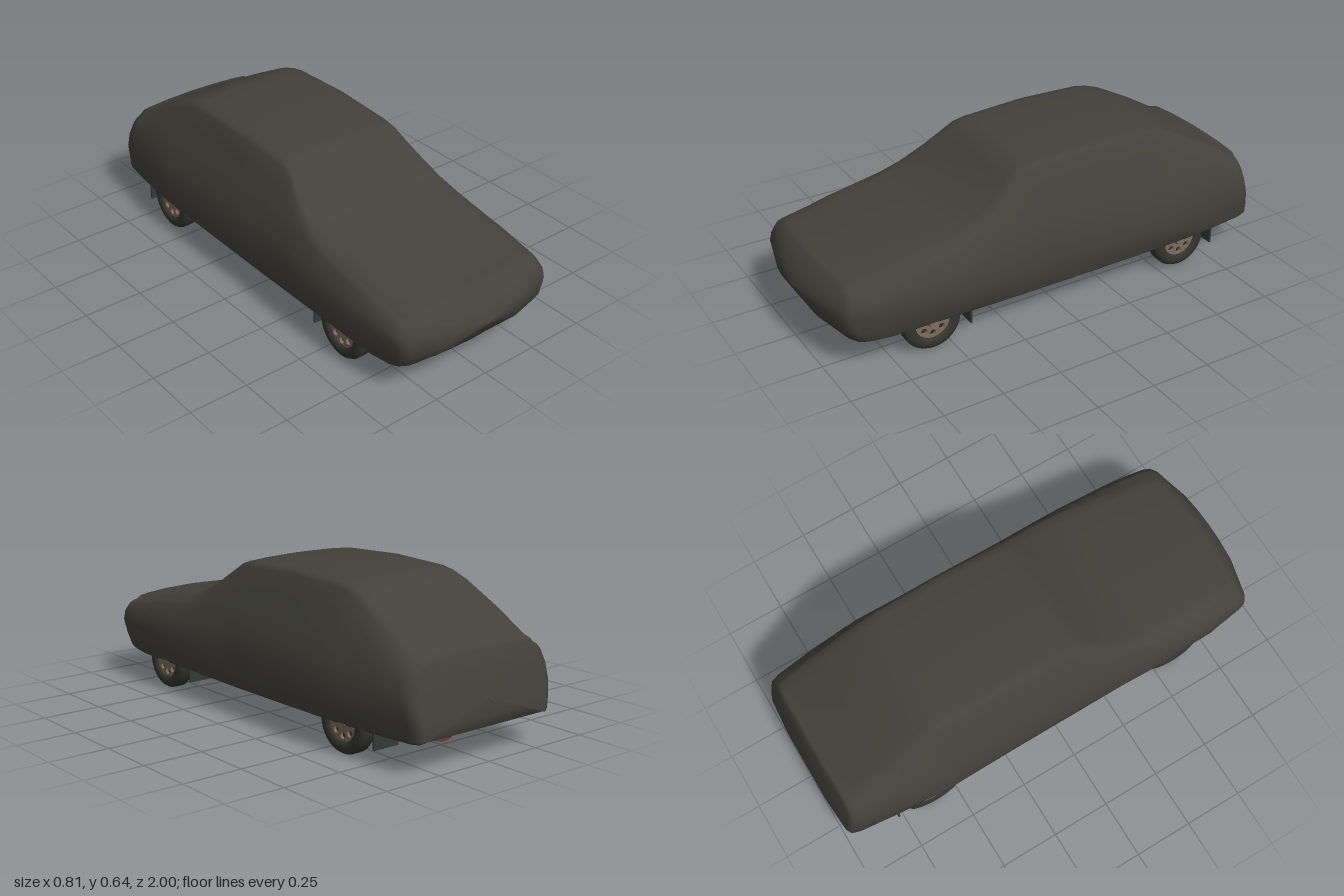
import * as THREE from 'three';

const mat = (name, color, side = THREE.FrontSide) => {
  const m = new THREE.MeshStandardMaterial({ color, side });
  m.name = name;
  return m;
};
const M = {
  cloth: mat('coverCloth', 0x42413a, THREE.DoubleSide),
  tyre: mat('tyreRubber', 0x34352f),
  rim: mat('rimMetal', 0x7d6a5e),
  dark: mat('underbodyDark', 0x262a28),
  steel: mat('chassisSteel', 0x343a37),
  rust: mat('exhaustRust', 0x6a3a34),
  sill: mat('sillPrimer', 0x8a7565),
};

function add(parent, name, geo, material, x = 0, y = 0, z = 0) {
  const m = new THREE.Mesh(geo, material);
  m.name = name;
  m.position.set(x, y, z);
  parent.add(m);
  return m;
}
const box = (p, name, m, w, h, d, x, y, z) => add(p, name, new THREE.BoxGeometry(w, h, d), m, x, y, z);
function tube(p, name, m, pts, r) {
  const path = new THREE.CurvePath();
  const v = pts.map(a => new THREE.Vector3(...a));
  for (let i = 1; i < v.length; i++) path.add(new THREE.LineCurve3(v[i - 1], v[i]));
  return add(p, name, new THREE.TubeGeometry(path, v.length * 8, r, 8), m);
}

// Cover stations: z, top y, top half width, shoulder half width, shoulder y, widest half width
const STATIONS = [
  [.96, .366, .31, .355, .32, .375],
  [.85, .383, .315, .36, .335, .39],
  [.7, .405, .32, .36, .355, .398],
  [.45, .44, .33, .36, .385, .405],
  [.36, .467, .328, .355, .405, .402],
  [.26, .522, .31, .35, .425, .398],
  [.19, .575, .288, .346, .432, .396],
  [.135, .615, .274, .345, .437, .395],
  [.08, .627, .272, .345, .44, .394],
  [-.2, .64, .275, .345, .44, .395],
  [-.47, .633, .272, .345, .44, .403],
  [-.53, .622, .272, .345, .437, .405],
  [-.6, .596, .275, .343, .43, .4],
  [-.77, .512, .284, .34, .412, .38],
  [-.95, .428, .29, .335, .365, .362],
];
// Closing rings at each end: distance from the middle, scale of the end section
const CAP = [[1, .01], [1, .5], [.997, .9], [.985, .97]];

// Draped cover lofted nose to tail, with bowed ends and an open underside
function coverGeometry() {
  const pos = [], idx = [];
  const smooth = THREE.MathUtils.smoothstep;
  const rows = [
    ...CAP.map(([z, s]) => [z, s, STATIONS[0]]),
    ...STATIONS.map(st => [st[0], 1, st]),
    ...CAP.map(([z, s]) => [-z, s, STATIONS.at(-1)]).reverse(),
  ];
  let n = 0;
  for (const [z, s, [, t, r, ws, ys, wm]] of rows) {
    const e = t - .02, wl = Math.min(.375, wm - .016), yb = .11 + .008 * Math.abs(z);
    const half = [
      [wl - .035, yb + .004], [wl - .012, yb], [wl, yb + .012], [wm - .012, .18], [wm, .245],
      [wm * .55 + ws * .45 + .006, .245 + (ys - .245) * .55], [ws, ys],
      [(ws + r) / 2 + .004, (ys + e) / 2], [r + .008, e - .012], [r - .008, e + .006],
      [r * .85, t - .009], [r * .5, t - .003],
    ];
    const ring = [...half, [0, t], ...half.slice().reverse().map(([x, y]) => [-x, y])];
    n = ring.length;
    const nose = smooth(z, .6, .97), tail = smooth(-z, .7, .96);
    for (const [px, py] of ring) {
      const x = px * s, y = .235 + (py - .235) * s;
      const dz = -nose * (4.3 * (y - .235) ** 2 + .45 * x * x)
        + tail * (.2 * Math.max(0, y - .18) + .1 * x * x);
      pos.push(x, y, z + dz);
    }
  }
  for (let j = 0; j < rows.length - 1; j++) {
    const closed = j < CAP.length - 1 || j >= rows.length - CAP.length;
    for (let i = 0; i < (closed ? n : n - 1); i++) {
      const k = (i + 1) % n, a = j * n + i, b = j * n + k, c = a + n, d = b + n;
      idx.push(a, c, b, b, c, d);
    }
  }
  const g = new THREE.BufferGeometry();
  g.setAttribute('position', new THREE.Float32BufferAttribute(pos, 3));
  g.setIndex(idx);
  g.computeVertexNormals();
  return g;
}

// Wheel with its outer face toward +x
function wheel() {
  const g = new THREE.Group();
  const profile = [[.074, -.034], [.1, -.037], [.118, -.032], [.125, -.02], [.125, .02],
    [.118, .032], [.1, .037], [.078, .034], [.074, .02], [.074, -.034]];
  const tyre = new THREE.LatheGeometry(profile.map(p => new THREE.Vector2(...p)), 32);
  add(g, 'tyre', tyre.rotateZ(-Math.PI / 2), M.tyre);
  const face = new THREE.Shape().absarc(0, 0, .077, 0, Math.PI * 2);
  for (let i = 0; i < 8; i++) {
    const a = i * Math.PI / 4;
    face.holes.push(new THREE.Path().absarc(Math.cos(a) * .054, Math.sin(a) * .054, .013, 0, Math.PI * 2, true));
  }
  const rim = new THREE.ExtrudeGeometry(face, { depth: .012, bevelEnabled: false, curveSegments: 16 });
  add(g, 'rim', rim.rotateY(Math.PI / 2), M.rim, .014);
  add(g, 'hub', new THREE.CylinderGeometry(.02, .026, .012, 16).rotateZ(-Math.PI / 2), M.rim, .031);
  add(g, 'brakeDrum', new THREE.CylinderGeometry(.073, .073, .03, 24).rotateZ(Math.PI / 2), M.dark, -.005);
  return g;
}

export function createModel() {
  const car = new THREE.Group();
  car.name = 'coveredCar';
  add(car, 'carCover', coverGeometry(), M.cloth);

  // Floor pan following the cover outline
  const plan = new THREE.Shape();
  const edge = [[.34, -.93], [.36, -.5], [.36, .6], [.33, .85], [.2, .93]];
  plan.moveTo(-.34, -.93);
  edge.forEach(p => plan.lineTo(...p));
  edge.slice(1).reverse().forEach(([x, z]) => plan.lineTo(-x, z));
  const floor = new THREE.ExtrudeGeometry(plan, { depth: .01, bevelEnabled: false });
  add(car, 'floorPan', floor.rotateX(Math.PI / 2), M.dark, 0, .145, 0);
  const valance = add(car, 'frontValance', new THREE.SphereGeometry(1, 32, 16), M.dark, 0, .12, .81);
  valance.scale.set(.31, .035, .11);

  // Wheels, flaps, sills and suspension on both sides
  for (const s of [1, -1]) {
    for (const [z, end] of [[.58, 'front'], [-.6, 'rear']]) {
      const w = wheel();
      w.name = end + 'Wheel';
      w.position.set(s * .333, .125, z);
      if (s < 0) w.rotation.y = Math.PI;
      car.add(w);
      box(car, end + 'MudFlap', M.steel, .12, .085, .008, s * .3, .098, z - .17);
    }
    box(car, 'sill', M.sill, .012, .016, .8, s * .345, .121, -.02);
    box(car, 'floorRail', M.steel, .03, .02, 1.0, s * .2, .128, 0);
    for (const z of [.25, -.22]) box(car, 'floorPanel', M.steel, .1, .006, .34, s * .11, .134, z);
    box(car, 'floorPatch', M.rust, .09, .005, .12, s * .26, .134, -.25);
    tube(car, 'frontControlArm', M.steel, [[s * .1, .11, .52], [s * .3, .1, .58], [s * .12, .11, .68]], .011);
    tube(car, 'frontStrut', M.steel, [[s * .27, .1, .58], [s * .25, .2, .57]], .022);
    tube(car, 'trailingArm', M.steel, [[s * .16, .125, -.33], [s * .27, .115, -.6]], .014);
    tube(car, 'rearDamper', M.steel, [[s * .24, .1, -.64], [s * .22, .2, -.66]], .017);
  }
  tube(car, 'rearAxle', M.steel, [[-.3, .125, -.6], [.3, .125, -.6]], .018);
  box(car, 'frontCrossmember', M.steel, .46, .025, .05, 0, .115, .56);
  box(car, 'engineSump', M.dark, .2, .05, .18, -.02, .12, .66);
  box(car, 'gearbox', M.steel, .1, .04, .26, 0, .125, .4);
  box(car, 'frontBrace', M.sill, .34, .008, .03, 0, .09, .72);
  box(car, 'spareWheelWell', M.dark, .22, .04, .24, -.12, .125, -.8);

  // Exhaust run with two silencers
  tube(car, 'exhaustPipe', M.rust, [[.21, .125, .58], [.1, .11, .64], [0, .11, .25], [0, .11, -.03],
    [.03, .11, -.34], [.2, .115, -.5], [.2, .12, -.64], [.16, .12, -.72], [.16, .125, -.97]], .011);
  const silencer = (name, r, l, x, z) => {
    const m = add(car, name, new THREE.CylinderGeometry(r, r, l, 20).rotateX(Math.PI / 2), M.rust, x, .118, z);
    m.scale.y = .6;
  };
  silencer('middleSilencer', .036, .24, 0, .1);
  silencer('rearSilencer', .045, .22, .16, -.82);
  return car;
}
